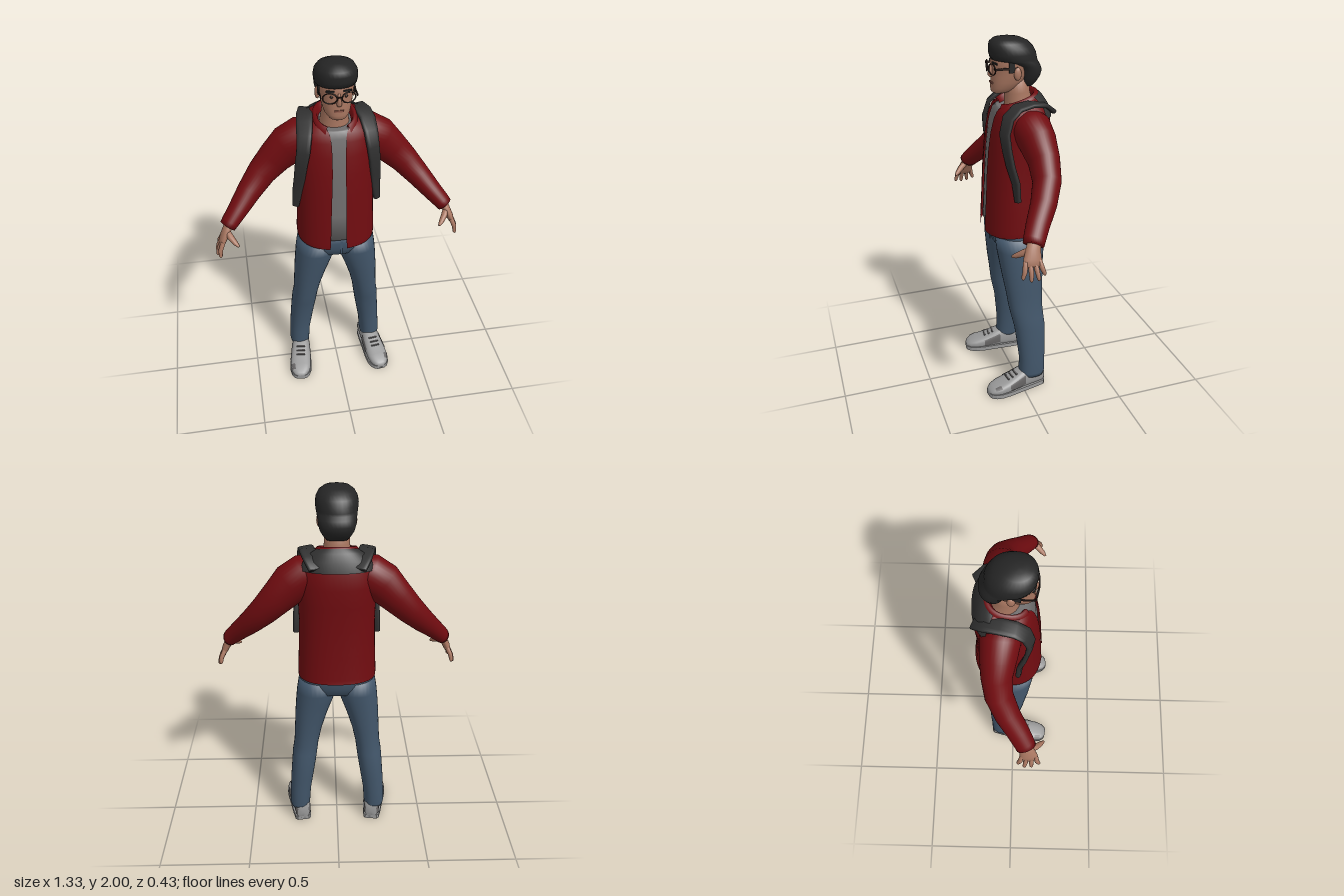
import * as THREE from 'three';

const mat = (name, color, side = THREE.FrontSide) =>
  Object.assign(new THREE.MeshStandardMaterial({ color, side }), { name });
const V = (x, y, z) => new THREE.Vector3(x, y, z);

// Skin a stack of rings {c, u, v, a0, a1}; e < 1 gives squarer rings
function loft(rings, { seg = 32, e = 1, open = false } = {}) {
  const pos = [], idx = [], n = open ? seg + 1 : seg;
  const sp = (s) => Math.sign(s) * Math.abs(s) ** e;
  for (const { c, u, v, a0 = 0, a1 = Math.PI * 2 } of rings)
    for (let j = 0; j < n; j++) {
      const t = a0 + (a1 - a0) * j / seg;
      const p = c.clone().addScaledVector(u, sp(Math.cos(t))).addScaledVector(v, sp(Math.sin(t)));
      pos.push(p.x, p.y, p.z);
    }
  for (let i = 0; i < rings.length - 1; i++)
    for (let j = 0; j < seg; j++) {
      const k = (j + 1) % n, a = i * n + j, b = i * n + k;
      idx.push(a, b, a + n, b, b + n, a + n);
    }
  if (!open) [0, rings.length - 1].forEach((r, end) => {
    const m = pos.length / 3, c = rings[r].c;
    pos.push(c.x, c.y, c.z);
    for (let j = 0; j < n; j++) {
      const a = r * n + j, b = r * n + (j + 1) % n;
      idx.push(...(end ? [a, b, m] : [b, a, m]));
    }
  });
  const g = new THREE.BufferGeometry();
  g.setAttribute('position', new THREE.Float32BufferAttribute(pos, 3));
  g.setIndex(idx);
  g.computeVertexNormals();
  return g;
}

// Horizontal ring: height, half width, front z, back z, centre x, tilt
const ring = ([y, rx, zf, zb, x = 0, tilt = 0]) => {
  const rz = (zf - zb) / 2;
  return { c: V(x, y, (zf + zb) / 2), u: V(0, rz * tilt, rz), v: V(rx, 0, 0) };
};

// Rings along a path of [x, y, z, radius, radius along ref]
function limb(pts, ref = V(0, 0, 1)) {
  const P = pts.map((p) => V(p[0], p[1], p[2]));
  return pts.map((p, i) => {
    const T = P[Math.min(i + 1, P.length - 1)].clone().sub(P[Math.max(i - 1, 0)]).normalize();
    const v = ref.clone().addScaledVector(T, -ref.dot(T)).normalize();
    return { c: P[i], u: v.clone().cross(T).multiplyScalar(p[3]), v: v.multiplyScalar(p[4] ?? p[3]) };
  });
}

export function createModel() {
  const M = {
    red: mat('jacket red', 0x700c10, THREE.DoubleSide),
    jeans: mat('denim blue', 0x42566a),
    shirt: mat('shirt grey', 0x706e6e),
    skin: mat('skin', 0xa87660),
    hair: mat('hair black', 0x252525),
    strap: mat('strap charcoal', 0x303030, THREE.DoubleSide),
    shoe: mat('shoe grey', 0x999999),
    panel: mat('shoe panel', 0x666464, THREE.DoubleSide),
    frame: mat('glasses brown', 0x2b1d19),
    lip: mat('lips', 0x8a5547),
  };
  const model = new THREE.Group();
  const add = (parent, name, geo, m, x = 0, y = 0, z = 0) => {
    const o = new THREE.Mesh(geo, m);
    o.name = name;
    o.position.set(x, y, z);
    parent.add(o);
    return o;
  };
  const box = (w, h, d) => new THREE.BoxGeometry(w, h, d);

  // Jacket body, open down the front; last number is the opening half width
  const E = 0.85;
  const jacket = [
    [0.972, 0.212, 0.155, -0.215, 0.045, -0.08], [1.0, 0.213, 0.156, -0.21, 0.043, -0.05],
    [1.15, 0.206, 0.147, -0.2, 0.04, 0], [1.3, 0.202, 0.14, -0.196, 0.037, 0],
    [1.42, 0.205, 0.13, -0.2, 0.034, 0], [1.52, 0.208, 0.117, -0.205, 0.034, 0],
    [1.6, 0.205, 0.1, -0.196, 0.037, -0.04], [1.645, 0.182, 0.085, -0.178, 0.042, -0.1],
    [1.672, 0.14, 0.074, -0.155, 0.05, -0.2], [1.685, 0.102, 0.066, -0.13, 0.055, -0.3],
  ];
  const opened = ([y, rx, zf, zb, gap, tilt]) => {
    const t = (g) => Math.asin((g / rx) ** (1 / E));
    const skew = Math.max(0, 1.6 - y) * 0.014;
    return { ...ring([y, rx, zf, zb, 0, tilt]), a0: t(gap - skew), a1: Math.PI * 2 - t(gap + skew) };
  };
  add(model, 'jacketBody', loft(jacket.map(opened), { seg: 56, e: E, open: true }), M.red);

  // Folded collar: inside, crest, outer flap
  const collar = [
    [1.66, 0.082, 0.05, -0.11, 0.05, -0.3], [1.692, 0.09, 0.06, -0.12, 0.05, -0.3],
    [1.697, 0.1, 0.072, -0.13, 0.052, -0.3], [1.684, 0.112, 0.085, -0.142, 0.06, -0.33],
    [1.66, 0.122, 0.097, -0.152, 0.068, -0.36],
  ];
  add(model, 'collar', loft(collar.map(opened), { seg: 40, e: E, open: true }), M.red);

  // Shirt under the jacket
  const shirt = jacket.slice(1, 9).map(([y, rx, zf, zb]) =>
    ring([Math.min(y + 0.01, 1.645), (rx - 0.02) * (y > 1.64 ? 0.7 : 1), zf - 0.012, zb + 0.025]));
  add(model, 'shirt', loft(shirt, { e: E }), M.shirt);

  // Hips
  add(model, 'hips', loft([
    [0.855, 0.1, 0.07, -0.1], [0.875, 0.17, 0.1, -0.14], [0.92, 0.21, 0.118, -0.158],
    [0.97, 0.205, 0.125, -0.17], [1.03, 0.19, 0.12, -0.17],
  ].map(ring), { e: 0.85 }), M.jeans);
  add(model, 'fly', box(0.012, 0.09, 0.006), M.jeans, 0.012, 0.94, 0.122);

  // Head and neck
  add(model, 'neck', loft(limb([[0, 1.58, -0.05, 0.085], [0, 1.66, -0.045, 0.074],
    [0, 1.72, -0.037, 0.066], [0, 1.8, -0.035, 0.066]])), M.skin);
  add(model, 'head', loft([
    [1.718, 0.028, 0.086, 0.03], [1.727, 0.045, 0.099, 0], [1.75, 0.064, 0.103, -0.04],
    [1.78, 0.074, 0.1, -0.08], [1.81, 0.081, 0.1, -0.1], [1.845, 0.086, 0.096, -0.115],
    [1.87, 0.09, 0.102, -0.12], [1.91, 0.09, 0.095, -0.12], [1.95, 0.07, 0.07, -0.09],
  ].map(ring), { e: 0.9 }), M.skin);
  add(model, 'nose', loft(limb([[0, 1.868, 0.097, 0.006, 0.008], [0, 1.84, 0.103, 0.009, 0.012],
    [0, 1.815, 0.105, 0.014, 0.013], [0, 1.805, 0.101, 0.011, 0.008]], V(0, 0, 1)), { seg: 12 }), M.skin);
  add(model, 'mouth', box(0.046, 0.01, 0.008), M.lip, 0, 1.775, 0.099);

  // Hair: full on top, cut back above the ears, bulging at the nape
  add(model, 'hair', loft([
    [1.752, 0.055, -0.06, -0.115], [1.775, 0.072, -0.04, -0.138], [1.8, 0.086, -0.032, -0.154],
    [1.83, 0.094, -0.028, -0.163], [1.86, 0.098, -0.01, -0.152], [1.88, 0.102, 0.045, -0.14],
    [1.893, 0.106, 0.1, -0.138], [1.92, 0.109, 0.108, -0.132], [1.95, 0.105, 0.11, -0.117],
    [1.975, 0.091, 0.105, -0.092], [1.992, 0.066, 0.086, -0.055], [2.0, 0.032, 0.055, -0.015],
  ].map(ring), { e: 0.92 }), M.hair);

  // Parts that repeat on both sides
  for (const s of [1, -1]) {
    const side = new THREE.Group();
    side.name = s > 0 ? 'leftSide' : 'rightSide';
    side.scale.x = s;
    model.add(side);

    // Face details and glasses
    add(side, 'ear', new THREE.SphereGeometry(1, 16, 12), M.skin, 0.09, 1.828, -0.012).scale.set(0.013, 0.033, 0.02);
    add(side, 'sideburn', box(0.008, 0.06, 0.028), M.hair, 0.088, 1.865, 0.018);
    add(side, 'eye', new THREE.SphereGeometry(0.008, 10, 8), M.frame, 0.036, 1.848, 0.088);
    const brow = add(side, 'eyebrow', box(0.042, 0.008, 0.008), M.hair, 0.042, 1.879, 0.093);
    brow.rotation.set(0, 0.3, -0.08);
    const rim = add(side, 'glassesRim', new THREE.TorusGeometry(0.032, 0.0035, 8, 24), M.frame, 0.046, 1.85, 0.108);
    rim.scale.set(1.1, 0.85, 1);
    rim.rotation.y = 0.22;
    add(side, 'glassesBridge', box(0.014, 0.006, 0.006), M.frame, 0.006, 1.855, 0.115);
    add(side, 'glassesTemple', box(0.005, 0.011, 0.115), M.frame, 0.089, 1.857, 0.045);

    // Sleeve
    add(side, 'sleeve', loft(limb([
      [0.1, 1.57, -0.06, 0.09, 0.1], [0.17, 1.556, -0.062, 0.108, 0.102], [0.235, 1.513, -0.07, 0.108, 0.094],
      [0.31, 1.437, -0.077, 0.091, 0.08], [0.385, 1.358, -0.066, 0.077, 0.072],
      [0.46, 1.276, -0.022, 0.064, 0.066], [0.53, 1.2, 0.034, 0.052, 0.059],
      [0.575, 1.152, 0.066, 0.045, 0.055], [0.59, 1.134, 0.076, 0.042, 0.053],
    ])), M.red);

    // Hand
    const hand = new THREE.Group();
    hand.name = 'hand';
    side.add(hand);
    add(hand, 'palm', loft(limb([
      [0.575, 1.152, 0.066, 0.025, 0.032], [0.6, 1.11, 0.08, 0.022, 0.038],
      [0.619, 1.07, 0.09, 0.02, 0.047], [0.632, 1.04, 0.092, 0.015, 0.044],
    ]), { seg: 20 }), M.skin);
    [[0.057, 0.036, 0.645, 0.99], [0.08, 0.07, 0.658, 0.974], [0.104, 0.107, 0.656, 0.972], [0.126, 0.145, 0.642, 0.982]]
      .forEach(([z0, z1, x, y]) => add(hand, 'finger', loft(limb([
        [0.622, 1.065, z0, 0.013], [(0.628 + x) / 2 + 0.005, (1.06 + y) / 2, (z0 + z1) / 2, 0.0125],
        [x, y + 0.008, z1, 0.0095], [x + 0.001, y, z1, 0.005],
      ]), { seg: 12 }), M.skin));
    add(hand, 'thumb', loft(limb([
      [0.6, 1.115, 0.09, 0.018], [0.578, 1.09, 0.126, 0.017], [0.556, 1.07, 0.153, 0.013], [0.542, 1.06, 0.168, 0.006],
    ], V(0, 1, 0)), { seg: 12 }), M.skin);

    // Trouser leg: height, inner x, outer x, front z, back z
    const leg = [
      [0.085, 0.168, 0.276, 0.008, -0.128], [0.11, 0.162, 0.28, 0.016, -0.136], [0.2, 0.156, 0.276, 0.012, -0.136],
      [0.3, 0.14, 0.27, 0.022, -0.14], [0.4, 0.124, 0.262, 0.034, -0.142], [0.47, 0.114, 0.256, 0.05, -0.134],
      [0.53, 0.106, 0.246, 0.062, -0.13], [0.62, 0.086, 0.241, 0.074, -0.132], [0.72, 0.055, 0.236, 0.09, -0.138],
      [0.81, 0.022, 0.229, 0.102, -0.145], [0.87, 0.004, 0.223, 0.11, -0.152], [0.95, 0.0, 0.21, 0.115, -0.155],
    ].map(([y, a, b, f, k]) => ring([y, (b - a) / 2, f, k, (a + b) / 2]));
    add(side, 'trouserLeg', loft(leg, { e: 0.9 }), M.jeans);

    // Shoe, lofted heel to toe: z, half width, height, centre x
    const shoe = new THREE.Group();
    shoe.name = 'shoe';
    shoe.position.set(0.222, 0, 0);
    shoe.rotation.y = 0.14;
    side.add(shoe);
    const prof = [
      [-0.132, 0.03, 0.1], [-0.12, 0.042, 0.125], [-0.06, 0.049, 0.134], [0, 0.053, 0.13], [0.05, 0.057, 0.108],
      [0.1, 0.061, 0.088], [0.15, 0.06, 0.074], [0.185, 0.05, 0.062], [0.205, 0.034, 0.049], [0.213, 0.018, 0.036],
    ];
    const shoeRing = (grow, span = {}) => ([z, w, h]) => ({
      c: V(0, 0.012 + (h - 0.012) / 2, z), u: V(w + grow, 0, 0), v: V(0, (h - 0.012) / 2 + grow, 0), ...span,
    });
    add(shoe, 'shoeUpper', loft(prof.map(shoeRing(0)), { e: 0.75 }), M.shoe);
    const sole = prof.flatMap(([z, w]) => [[w + 0.004, z]])
      .concat(prof.map(([z, w]) => [-w - 0.004, z]).reverse()).map(([x, z]) => new THREE.Vector2(x, -z));
    const soleGeo = new THREE.ExtrudeGeometry(new THREE.Shape(sole), { depth: 0.026, bevelEnabled: false });
    add(shoe, 'sole', soleGeo.rotateX(-Math.PI / 2), M.shoe, 0, 0.004, 0);
    const patch = (from, to, a0, a1) => add(shoe, 'shoePanel',
      loft(prof.slice(from, to).map(shoeRing(0.003, { a0, a1 })), { seg: 10, e: 0.75, open: true }), M.panel);
    for (const [a, b] of [[-0.25, 0.5], [Math.PI - 0.5, Math.PI + 0.25]]) {
      patch(3, 6, a, b);
      patch(0, 2, a, b);
    }
    patch(6, 8, 0.5, 1.1);
    for (const [y, z] of [[0.112, 0.045], [0.102, 0.07], [0.094, 0.095]])
      add(shoe, 'lace', box(0.05, 0.008, 0.009), M.panel, 0, y, z);

    // Shoulder strap: over the shoulder, then down the front to the side
    const path = [
      [0.11, 1.63, -0.186, 0.036], [0.135, 1.672, -0.135, 0.04], [0.15, 1.685, -0.06, 0.042],
      [0.16, 1.675, 0.01, 0.042], [0.168, 1.63, 0.062, 0.04], [0.178, 1.55, 0.085, 0.036],
      [0.19, 1.47, 0.077, 0.033], [0.199, 1.38, 0.06, 0.03], [0.209, 1.29, 0.035, 0.027], [0.22, 1.19, 0.028, 0.018],
    ];
    add(side, 'shoulderStrap', loft(limb(path.map(([x, y, z, w]) => [x, y, z, 0.013, w]), V(1, 0, -0.45)),
      { seg: 20, e: 0.6 }), M.strap);
  }

  // Strap yoke hugging the upper back
  add(model, 'strapYoke', loft([
    [1.605, 0.208, 0.1, -0.204, 0, -0.04], [1.648, 0.192, 0.085, -0.188, 0, -0.1],
    [1.678, 0.15, 0.074, -0.163, 0, -0.2], [1.69, 0.115, 0.066, -0.143, 0, -0.3],
  ].map((r) => ({ ...ring(r), a0: Math.PI * 0.66, a1: Math.PI * 1.34 })), { seg: 24, e: E, open: true }), M.strap);

  return model;
}
